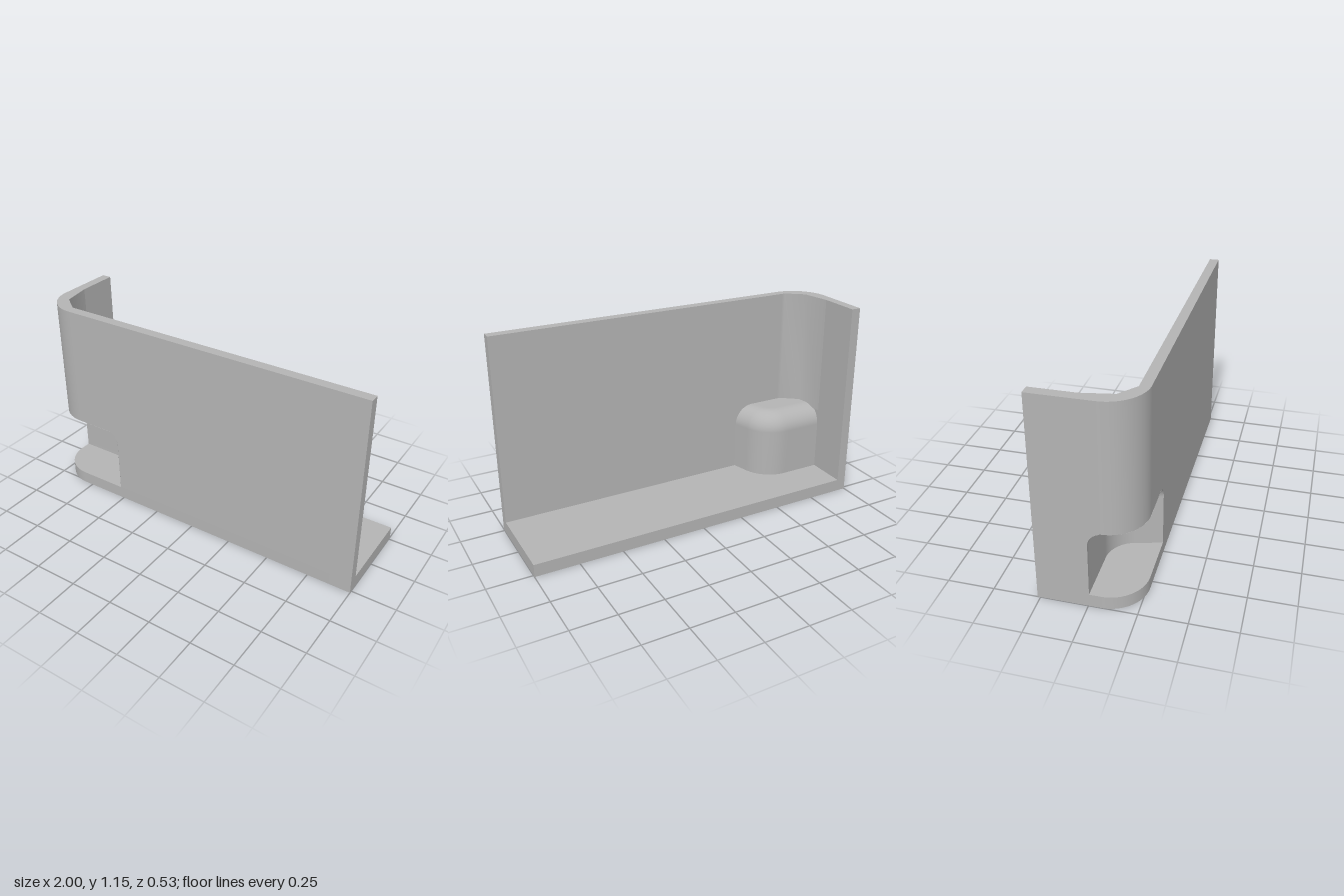
import * as THREE from 'three';
import { toCreasedNormals } from 'three/addons/utils/BufferGeometryUtils.js';

const H = 1.15, BASE = 0.072, ZB = 0.265, WALL = 0.055, R = 0.2, ROOF = 0.45;

export function createModel() {
  const group = new THREE.Group();
  const grey = new THREE.MeshStandardMaterial({ color: 0xb4b4b4, side: THREE.DoubleSide });
  grey.name = 'plain grey';

  const add = (name, geometry) => {
    const mesh = new THREE.Mesh(geometry, grey);
    mesh.name = name;
    group.add(mesh);
  };
  const extrude = (shape, depth) =>
    new THREE.ExtrudeGeometry(shape, { depth, bevelEnabled: false, curveSegments: 14 });
  const crease = (g) => toCreasedNormals(g, Math.PI / 4);
  // Plan shapes are drawn in (x, -z) and raised from y0 to y1
  const raise = (shape, y0, y1) =>
    crease(extrude(shape, y1 - y0).rotateX(-Math.PI / 2).translate(0, y0, 0));

  // Base plate with one rounded corner
  const plan = new THREE.Shape();
  plan.moveTo(1, -ZB).lineTo(1, ZB).lineTo(-1, ZB).lineTo(-1, R - ZB);
  plan.absarc(-1 + R, R - ZB, R, Math.PI, Math.PI * 1.5, false);
  plan.closePath();
  add('basePlate', raise(plan, 0, BASE));

  // Front wall with the recess cut out of its lower corner
  const front = new THREE.Shape();
  front.moveTo(1, BASE).lineTo(1, H).lineTo(-0.8, H).lineTo(-0.8, ROOF).lineTo(-0.597, ROOF);
  front.absarc(-0.597, 0.37, 0.08, Math.PI / 2, 0, true);
  front.lineTo(-0.517, BASE);
  add('frontWall', crease(extrude(front, WALL).translate(0, 0, ZB - WALL)));

  // Side wall, drawn in (z, y)
  const side = new THREE.Shape();
  side.moveTo(-ZB, BASE).lineTo(0.005, BASE).lineTo(0.005, 0.37);
  side.absarc(0.085, 0.37, 0.08, Math.PI, Math.PI / 2 + 0.25, true);
  side.lineTo(0.065, ROOF).lineTo(-0.03, ROOF).lineTo(-0.03, H).lineTo(-ZB, H);
  add('sideWall', crease(extrude(side, WALL).rotateY(-Math.PI / 2).translate(-1 + WALL, 0, 0)));

  // Rounded wall corner above the recess, faceted on the inside
  const corner = new THREE.Shape();
  corner.moveTo(-1, 0.03).lineTo(-1, R - ZB);
  corner.absarc(-1 + R, R - ZB, R, Math.PI, Math.PI * 1.5, false);
  corner.lineTo(-0.8, -0.21).lineTo(-0.82, -0.21).lineTo(-0.915, -0.135).lineTo(-0.945, 0.03);
  add('wallCorner', raise(corner, ROOF, H));

  // Recess skin: a rounded plan path swept up a filleted profile and closed by a flat roof
  const recessSkin = (startX, planR, zEnd, margin, top, fillet) => {
    const cx = -0.71, cz = 0.165, path = [];
    for (let i = 0; i < 12; i++) path.push([startX + (cx - startX) * i / 12, cz - planR, 0, 1]);
    const sweep = THREE.MathUtils.degToRad(75);
    for (let i = 0; i <= 14; i++) {
      const a = sweep * i / 14, s = Math.sin(a), c = Math.cos(a);
      path.push([cx + planR * s, cz - planR * c, -s, c]);
    }
    const [lx, lz, nx, nz] = path[path.length - 1];
    path.push([lx - (zEnd - lz) * nz / nx, zEnd, nx, nz]);

    const profile = [[0, BASE - 0.002]];
    for (let i = 0; i <= 10; i++) {
      const a = Math.PI / 2 * i / 10;
      profile.push([fillet * (1 - Math.cos(a)), top - fillet + fillet * Math.sin(a)]);
    }
    const limit = (x) => Math.min(zEnd, x < -0.8
      ? 0.065 + Math.sqrt(Math.max(0, R * R - (x + 0.8) ** 2)) - margin : zEnd);

    const pos = [], index = [], rows = profile.length + 1;
    for (const [x, z, ax, az] of path) {
      for (const [d, y] of profile) {
        const px = x + ax * d;
        pos.push(px, y, Math.min(z + az * d, limit(px)));
      }
      const ex = x + ax * fillet;
      pos.push(ex, top, limit(ex));
    }
    for (let i = 0; i < path.length - 1; i++) {
      for (let j = 0; j < rows - 1; j++) {
        const a = i * rows + j, b = a + rows;
        index.push(a, a + 1, b, b, a + 1, b + 1);
      }
    }
    const g = new THREE.BufferGeometry();
    g.setAttribute('position', new THREE.Float32BufferAttribute(pos, 3));
    g.setIndex(index);
    g.computeVertexNormals();
    return g;
  };

  // Housing bulging into the inside, and the hollow open to the outside
  add('recessHousing', recessSkin(-0.955, 0.195, 0.212, 0.02, 0.473, 0.115));
  const hollow = recessSkin(-1, 0.16, ZB, 0, ROOF - 0.001, 0.08);
  const idx = hollow.index.array;
  for (let i = 0; i < idx.length; i += 3) [idx[i], idx[i + 1]] = [idx[i + 1], idx[i]];
  hollow.computeVertexNormals();
  add('recessHollow', hollow);

  return group;
}
